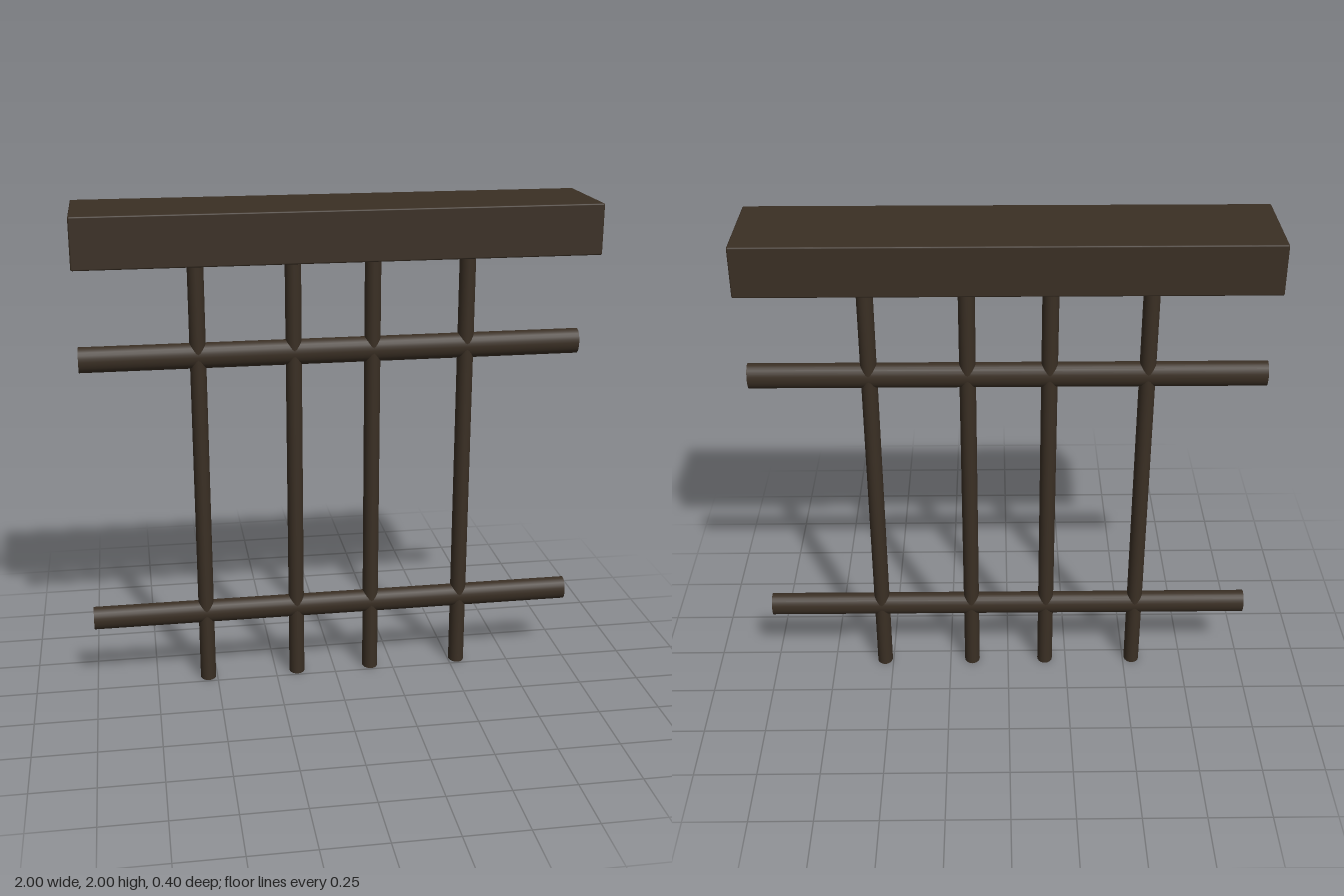
import * as THREE from 'three';
import { RoundedBoxGeometry } from 'three/addons/geometries/RoundedBoxGeometry.js';

const BAR_Z = -0.046;

export function createModel() {
  const model = new THREE.Group();
  model.name = 'barredGate';
  const wood = new THREE.MeshStandardMaterial({ color: 0x3a2f24 });
  const tubeMaterial = new THREE.MeshStandardMaterial({ color: 0x3a2f24, side: THREE.DoubleSide });

  const add = (name, geometry, material, x, y, z) => {
    const mesh = new THREE.Mesh(geometry, material);
    mesh.name = name;
    mesh.position.set(x, y, z);
    model.add(mesh);
  };

  // Open-ended tube with an oval section, standing along y
  const ovalTube = (rx, rz, length) =>
    new THREE.CylinderGeometry(1, 1, length, 24, 1, true).scale(rx, 1, rz);

  // Heavy beam across the top, with slightly eased edges
  add('topBeam', new RoundedBoxGeometry(2, 0.197, 0.4, 2, 0.006), wood, 0, 1.9015, 0);

  // Upright bars, running from the ground into the beam
  for (const x of [-0.538, -0.16, 0.156, 0.536]) {
    add('uprightBar', ovalTube(0.032, 0.039, 1.82), tubeMaterial, x, 0.91, BAR_Z);
  }

  // Hollow cross rails
  for (const [y, radius] of [[0.304, 0.048], [1.405, 0.051]]) {
    const rail = ovalTube(radius, 0.04, 2).rotateZ(Math.PI / 2);
    add('crossRail', rail, tubeMaterial, 0, y, BAR_Z);
  }

  return model;
}
